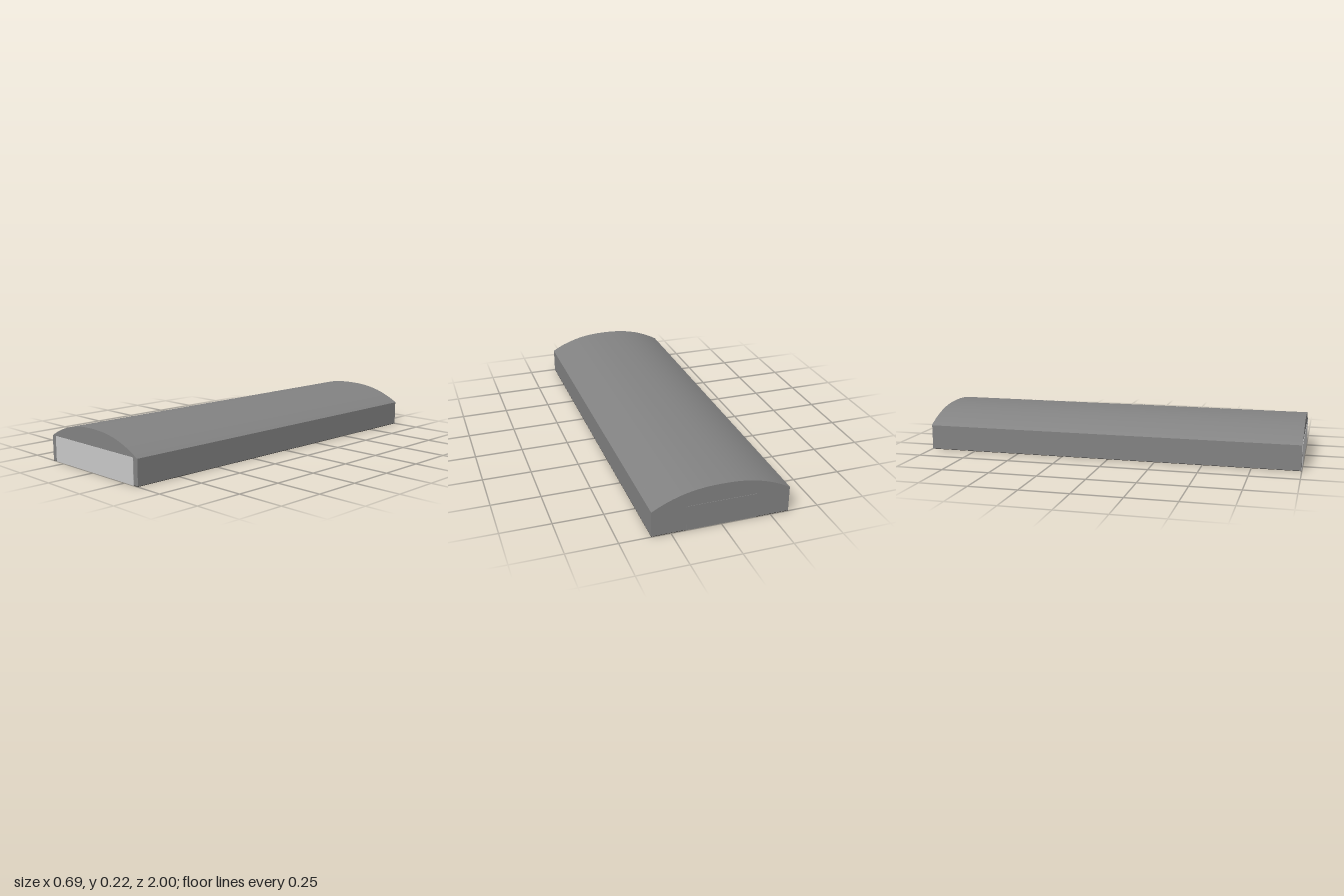
import * as THREE from 'three';

const HALF = 0.345, WALL = 0.133, TOP = 0.219, END = 0.998;

// Height of the vaulted roof at x
const roofY = (x) => TOP - (TOP - WALL) * Math.pow(Math.min(1, Math.abs(x) / HALF), 2.33);

// Curved strip that follows the vault, from x0 to x1 and z0 to z1, lifted a little
function roofStrip(x0, x1, z0, z1, lift, steps, material) {
  const geometry = new THREE.PlaneGeometry(1, 1, steps, 1);
  const p = geometry.attributes.position;
  for (let i = 0; i < p.count; i++) {
    const x = x0 + (p.getX(i) + 0.5) * (x1 - x0);
    const z = z0 + (0.5 - p.getY(i)) * (z1 - z0);
    p.setXYZ(i, x, roofY(x) + lift, z);
  }
  geometry.computeVertexNormals();
  return new THREE.Mesh(geometry, material);
}

export function createModel() {
  const model = new THREE.Group();
  const wallGrey = new THREE.MeshStandardMaterial({ name: 'wallGrey', color: 0x828282 });
  const doorGrey = new THREE.MeshStandardMaterial({ name: 'doorGrey', color: 0xc8c8c8 });
  const floorDark = new THREE.MeshStandardMaterial({ name: 'floorDark', color: 0x33302d });

  const add = (mesh, name, parent = model) => {
    mesh.name = name;
    parent.add(mesh);
    return mesh;
  };
  const box = (name, w, h, d, x, y, z, material) => {
    const mesh = add(new THREE.Mesh(new THREE.BoxGeometry(w, h, d), material), name);
    mesh.position.set(x, y, z);
  };

  // Walls and end gables, closed by a smooth vault
  const outline = new THREE.Shape();
  outline.moveTo(-HALF, 0.002);
  outline.lineTo(HALF, 0.002);
  const steps = 40;
  for (let i = 0; i <= steps; i++) {
    const x = HALF - (2 * HALF * i) / steps;
    outline.lineTo(x, roofY(x) - 0.001);
  }
  outline.closePath();
  const hall = new THREE.ExtrudeGeometry(outline, { depth: 2 * END, bevelEnabled: false });
  hall.translate(0, 0, -END);
  add(new THREE.Mesh(hall, wallGrey), 'hallBody');
  add(roofStrip(-HALF, HALF, -1, 1, -0.0005, steps, wallGrey), 'roofSkin');

  // Low panel seams: arched ribs between eleven bays, and lengthwise battens
  const seams = new THREE.Group();
  seams.name = 'roofSeams';
  model.add(seams);
  const bays = 11, rows = 10, half = 0.0015;
  for (let i = 1; i < bays; i++) {
    const z = -1 + (2 * i) / bays;
    add(roofStrip(-HALF, HALF, z - half, z + half, 0.0003, steps, wallGrey), 'archedSeam', seams);
  }
  for (let i = 1; i < rows; i++) {
    const x = -HALF + (2 * HALF * i) / rows;
    add(roofStrip(x - half, x + half, -1, 1, 0.0003, 1, wallGrey), 'lengthwiseSeam', seams);
  }

  // Dark floor slab
  box('floor', 2 * HALF, 0.002, 2 * END, 0, 0.001, 0, floorDark);

  // Wide front door and smaller rear door
  box('frontDoor', 0.63, WALL - 0.001, 0.004, 0, WALL / 2, 0.998, doorGrey);
  box('rearDoor', 0.35, 0.128, 0.004, 0, 0.065, -0.998, wallGrey);

  return model;
}
